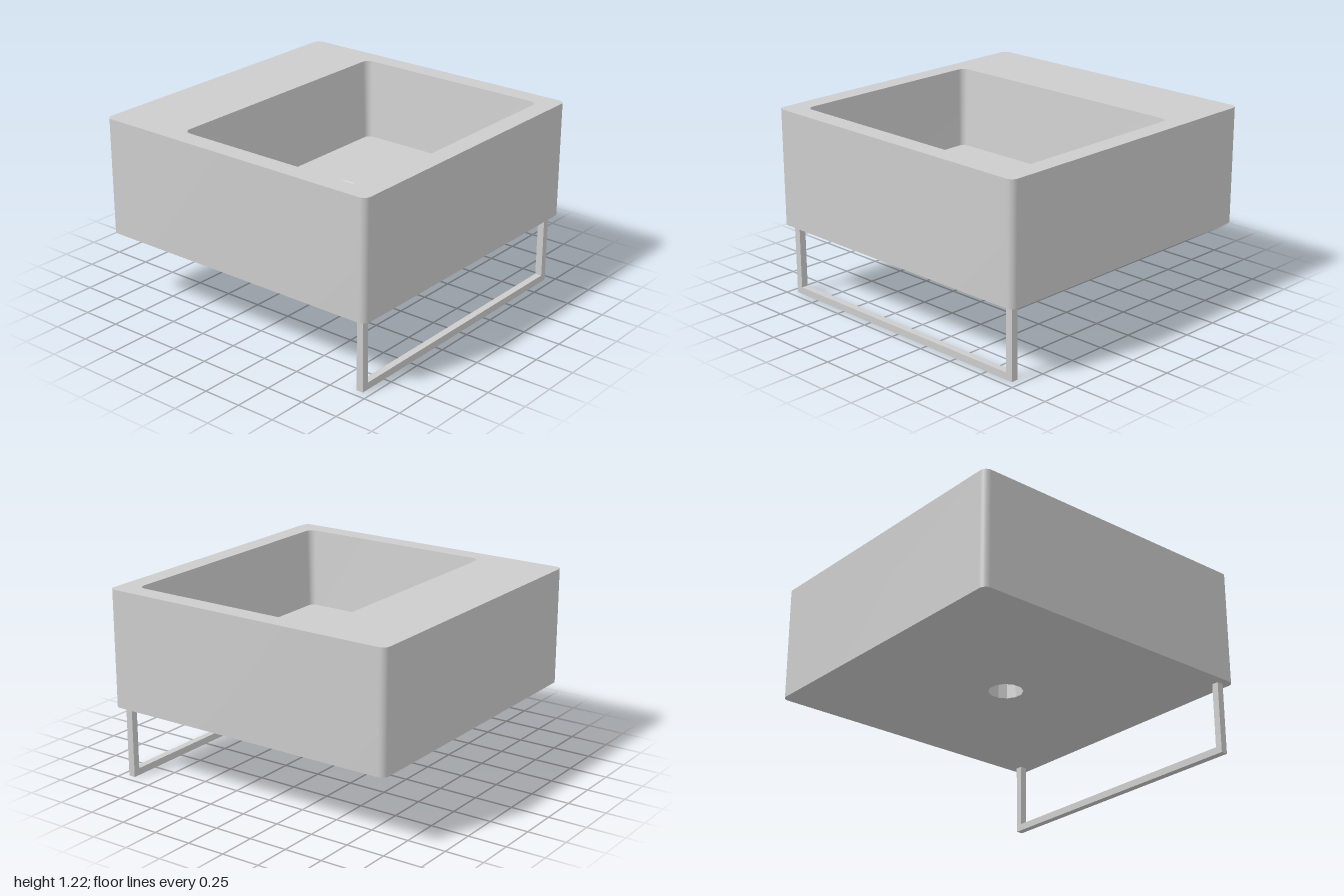
import * as THREE from 'three';
import { toCreasedNormals } from 'three/addons/utils/BufferGeometryUtils.js';

const BASE = 0.465, TOP = 1.22, FLOOR = 0.71;

// Rounded rectangle outline, counterclockwise seen from above
function roundedRect(x0, x1, halfZ, r, segments = 6) {
  const centres = [[x1 - r, halfZ - r], [x0 + r, halfZ - r], [x0 + r, r - halfZ], [x1 - r, r - halfZ]];
  const points = [];
  centres.forEach(([cx, cy], corner) => {
    for (let i = 0; i <= segments; i++) {
      const a = (corner + i / segments) * Math.PI / 2;
      points.push(new THREE.Vector2(cx + r * Math.cos(a), cy + r * Math.sin(a)));
    }
  });
  return points;
}

function circle(r, sides = 12) {
  return Array.from({ length: sides }, (_, i) => {
    const a = (i + 0.5) / sides * Math.PI * 2;
    return new THREE.Vector2(r * Math.cos(a), r * Math.sin(a));
  });
}

// Wall between two outlines: faces outward going up, inward going down
function wall(from, yFrom, to, yTo) {
  const positions = [];
  const n = from.length;
  const put = (p, y) => positions.push(p.x, y, -p.y);
  for (let i = 0; i < n; i++) {
    const j = (i + 1) % n;
    put(from[i], yFrom); put(from[j], yFrom); put(to[j], yTo);
    put(from[i], yFrom); put(to[j], yTo); put(to[i], yTo);
  }
  const geometry = new THREE.BufferGeometry();
  geometry.setAttribute('position', new THREE.Float32BufferAttribute(positions, 3));
  return toCreasedNormals(geometry, 0.5);
}

// Horizontal plate with an optional hole, facing up or down
function plate(outline, y, hole, down = false) {
  const shape = new THREE.Shape(outline);
  if (hole) shape.holes.push(new THREE.Path(hole));
  const geometry = new THREE.ShapeGeometry(shape);
  geometry.rotateX(down ? Math.PI / 2 : -Math.PI / 2);
  return geometry.translate(0, y, 0);
}

export function createModel() {
  const grey = new THREE.MeshStandardMaterial({ color: 0xcccccc });
  grey.name = 'light grey';
  const model = new THREE.Group();
  model.name = 'washbasin';
  const add = (name, geometry, parent = model) => {
    const mesh = new THREE.Mesh(geometry, grey);
    mesh.name = name;
    parent.add(mesh);
    return mesh;
  };

  const outer = roundedRect(-1, 1, 1, 0.045);
  const rim = roundedRect(-0.47, 0.875, 0.875, 0.05);
  const bowl = roundedRect(-0.415, 0.825, 0.825, 0.04);
  const drainEdge = circle(0.11), drainCentre = circle(0.06);

  // Basin block with its off-centre tapered bowl
  add('outerWall', wall(outer, BASE, outer, TOP));
  add('topDeck', plate(outer, TOP, rim));
  add('underside', plate(outer, BASE, drainEdge, true));
  add('bowlWall', wall(rim, TOP, bowl, FLOOR));
  add('bowlFloor', plate(bowl, FLOOR, drainEdge));

  // Recessed drain and the outlet below it
  add('drainCone', wall(drainEdge, FLOOR, drainCentre, FLOOR - 0.03));
  add('drainPlug', plate(drainCentre, FLOOR - 0.03));
  add('outletWall', wall(drainEdge, FLOOR - 0.05, drainEdge, BASE));
  add('outletCeiling', plate(drainEdge, FLOOR - 0.05, null, true));

  // Towel rail: two square posts and a crossbar under one side
  const rail = new THREE.Group();
  rail.name = 'towelRail';
  model.add(rail);
  const t = 0.045, x = 0.928, reach = 0.95;
  for (const side of [-1, 1]) {
    add(side > 0 ? 'frontPost' : 'backPost', new THREE.BoxGeometry(t, BASE - t, t), rail)
      .position.set(x, (BASE + t) / 2, side * (reach - t / 2));
  }
  add('crossbar', new THREE.BoxGeometry(t, t, reach * 2), rail).position.set(x, t / 2, 0);

  return model;
}
